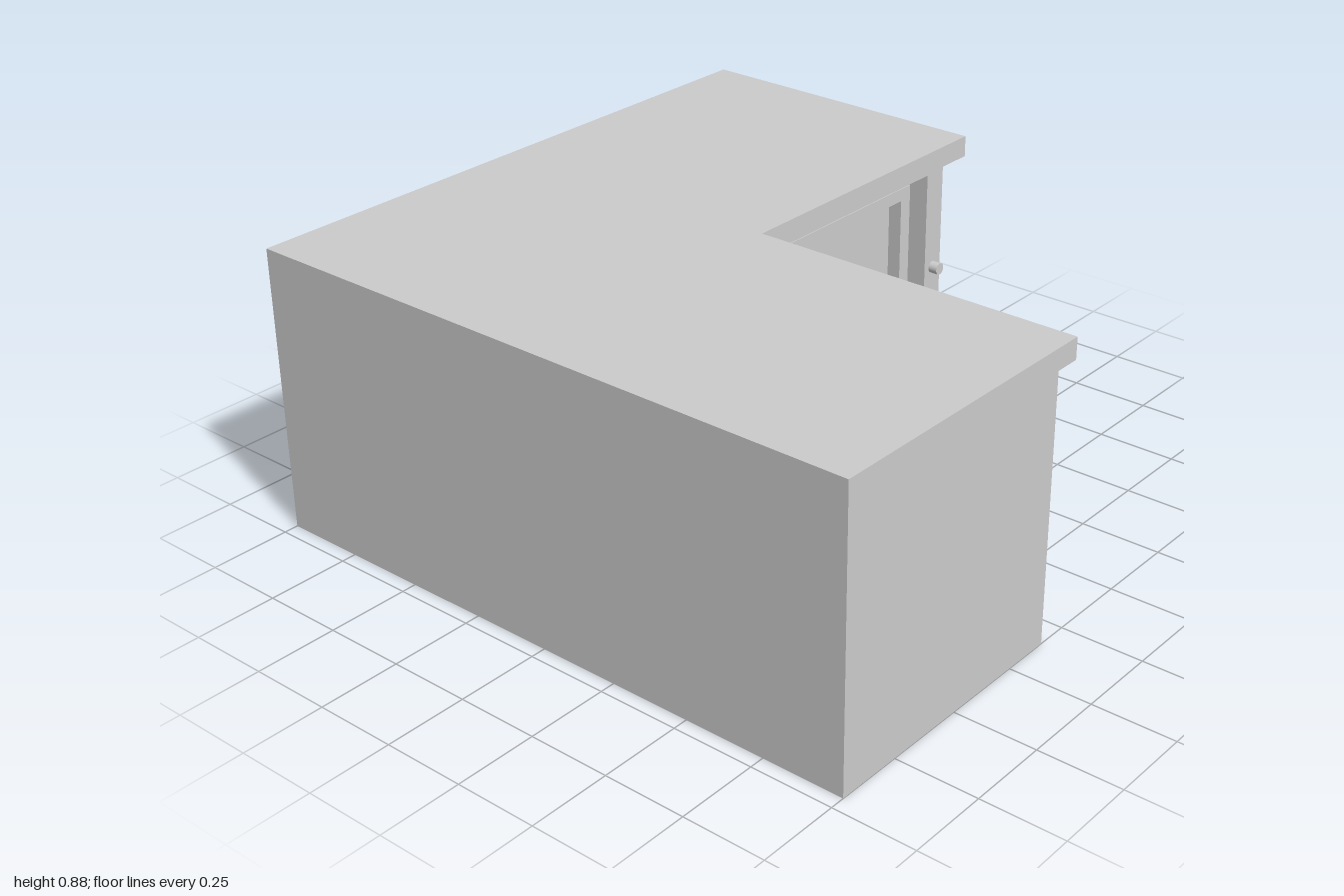
import * as THREE from 'three';

const material = new THREE.MeshStandardMaterial({ color: 0xcccccc });
const BACK = 0.955, BODY_TOP = 0.81, TOP = 0.875;
const INNER_X = -0.025, INNER_Z = 0.02; // inside corner of the L
const OVERHANG = 0.08, RECESS = 0.085, KNOB_Y = 0.43;

function part(name, geometry, parent) {
  const mesh = new THREE.Mesh(geometry, material);
  mesh.name = name;
  parent.add(mesh);
  return mesh;
}

// Floor plan given as [x, z] points, raised from y0 to y1
function plan(points, y0, y1) {
  const shape = new THREE.Shape(points.map(([x, z]) => new THREE.Vector2(x, z)));
  return new THREE.ExtrudeGeometry(shape, { depth: y1 - y0, bevelEnabled: false })
    .rotateX(Math.PI / 2).translate(0, y1, 0);
}

// Upright rectangle with a rectangular hole; boxes are [x0, x1, y0, y1]
function frame(outer, inner, depth) {
  const corners = ([x0, x1, y0, y1]) =>
    [[x0, y0], [x1, y0], [x1, y1], [x0, y1]].map(([x, y]) => new THREE.Vector2(x, y));
  const shape = new THREE.Shape(corners(outer));
  shape.holes.push(new THREE.Path(corners(inner)));
  return new THREE.ExtrudeGeometry(shape, { depth, bevelEnabled: false });
}

// Recessed door facing local +z, centred on x; z = 0 is the recess floor
function door(name, width, knobSide) {
  const group = new THREE.Group();
  group.name = name;
  const h = width / 2;
  const inset = (side, bottom, top) => [-h + side, h - side, bottom, top];
  part('doorFrame', frame(inset(0, 0, BODY_TOP), inset(0.08, 0.07, 0.75), RECESS), group);
  part('doorMoulding', frame(inset(0.115, 0.095, 0.72), inset(0.16, 0.135, 0.68), 0.045), group);
  const knob = part('doorKnob', new THREE.CylinderGeometry(0.019, 0.019, 0.03, 24), group);
  knob.rotation.x = Math.PI / 2;
  knob.position.set(knobSide * (h - 0.04), KNOB_Y, RECESS + 0.015);
  return group;
}

export function createModel() {
  const model = new THREE.Group();
  model.name = 'cornerCabinet';

  // L-shaped carcass with the corner post standing proud of the doors
  const floorX = INNER_X - OVERHANG - RECESS, floorZ = INNER_Z + OVERHANG + RECESS;
  part('carcass', plan([
    [-1, -BACK], [floorX, -BACK], [floorX, INNER_Z], [INNER_X, INNER_Z],
    [INNER_X, floorZ], [1, floorZ], [1, BACK], [-1, BACK],
  ], 0, BODY_TOP), model);

  // Worktop overhanging the doors
  part('worktop', plan([
    [-1, -BACK], [INNER_X, -BACK], [INNER_X, INNER_Z], [1, INNER_Z], [1, BACK], [-1, BACK],
  ], BODY_TOP, TOP), model);

  // Door of the arm along x, facing -z
  const backDoor = door('backDoor', 1 - INNER_X, -1);
  backDoor.rotation.y = Math.PI;
  backDoor.position.set((1 + INNER_X) / 2, 0, floorZ);

  // Door of the arm along z, facing +x
  const sideDoor = door('sideDoor', INNER_Z + BACK, 1);
  sideDoor.rotation.y = Math.PI / 2;
  sideDoor.position.set(floorX, 0, (INNER_Z - BACK) / 2);

  model.add(backDoor, sideDoor);
  return model;
}
